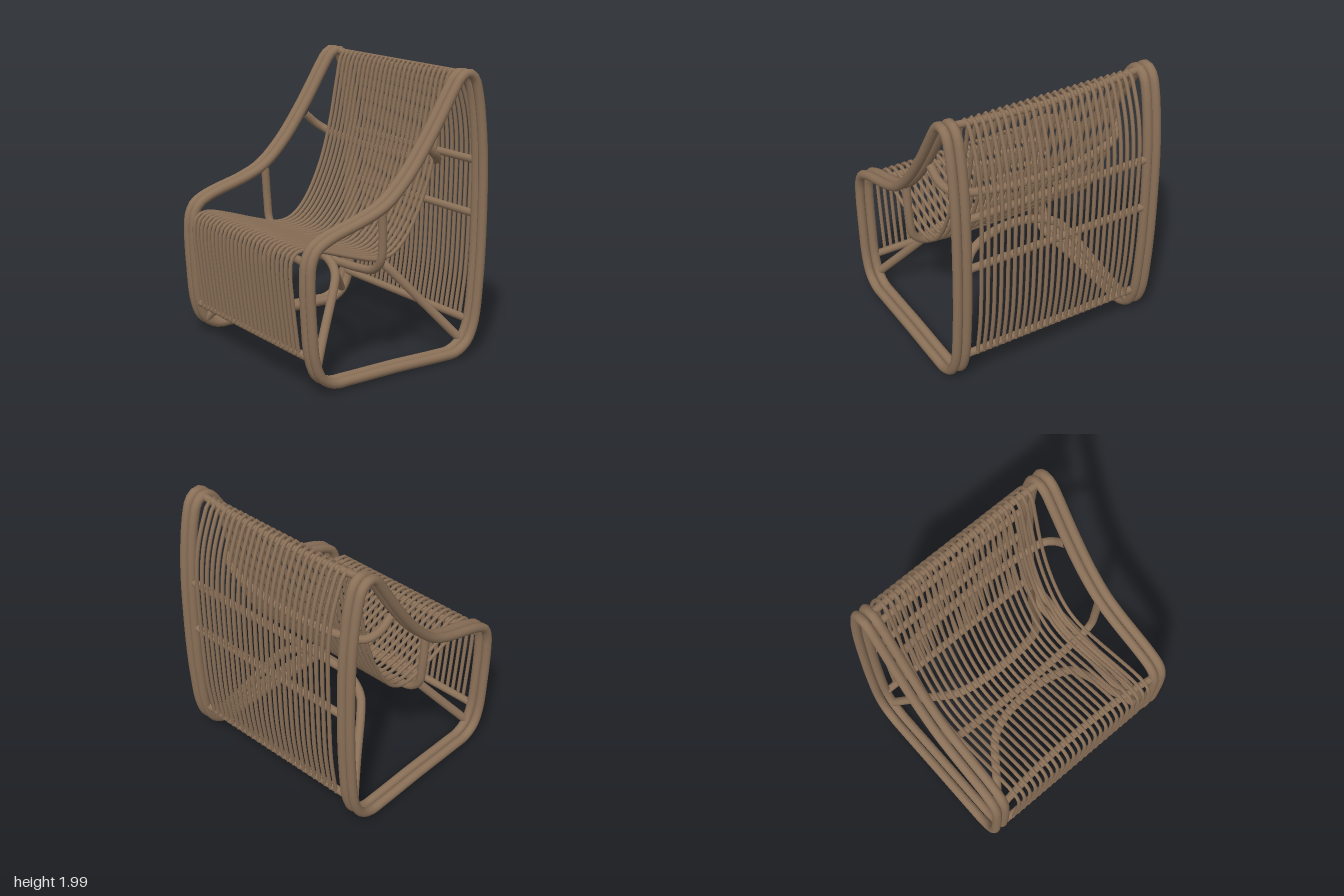
import * as THREE from 'three';

export function createModel() {
  const chair = new THREE.Group();
  chair.name = 'rattanLoungeChair';
  const cane = new THREE.MeshStandardMaterial({ color: 0x8a7058 });
  cane.name = 'brown cane';

  // A bent cane running smoothly through points [x, y, z]
  function bend(name, points, radius, segments, sides, closed = false) {
    const curve = new THREE.CatmullRomCurve3(
      points.map(p => new THREE.Vector3(...p)), closed, 'centripetal');
    const mesh = new THREE.Mesh(
      new THREE.TubeGeometry(curve, segments, radius, sides, closed), cane);
    mesh.name = name;
    chair.add(mesh);
    return mesh;
  }

  // Cane symmetric about x = 0, given from its left end to the middle
  function crossCane(name, half, radius = 0.029) {
    const mirrored = half.slice(0, -1).reverse().map(([x, y, z]) => [-x, y, z]);
    bend(name, [...half, ...mirrored], radius, 72, 12);
  }

  // Straight rail between the side frames
  function rail(name, y, z, radius = 0.027) {
    const mesh = new THREE.Mesh(new THREE.CylinderGeometry(radius, radius, 1.38, 14), cane);
    mesh.rotation.z = Math.PI / 2;
    mesh.position.set(0, y, z);
    mesh.name = name;
    chair.add(mesh);
  }

  // Side frames: doubled closed loops, profile as [z, y]
  const frame = [
    [0.705, 0.76], [0.695, 0.88], [0.655, 0.96], [0.56, 1.015], [0.25, 1.11], [0.10, 1.18],
    [-0.07, 1.335], [-0.25, 1.57], [-0.45, 1.88], [-0.49, 1.935], [-0.55, 1.967],
    [-0.61, 1.935], [-0.65, 1.83], [-0.70, 1.48], [-0.714, 1.02], [-0.70, 0.55],
    [-0.66, 0.22], [-0.60, 0.10], [-0.50, 0.042], [-0.38, 0.038], [0, 0.048],
    [0.40, 0.05], [0.52, 0.055], [0.615, 0.11], [0.667, 0.23], [0.695, 0.5],
  ];
  for (const side of [1, -1]) {
    for (const x of [0.692, 0.761]) {
      bend(side > 0 ? 'leftFrame' : 'rightFrame',
        frame.map(([z, y]) => [side * x, y, z]), 0.033, 140, 14, true);
    }
  }

  // Slats: front apron, seat, backrest, then over the top and down the back
  const slat = [
    [0.685, 0.23], [0.725, 0.55], [0.747, 0.80], [0.735, 0.885], [0.69, 0.925], [0.61, 0.925],
    [0.48, 0.89], [0.25, 0.815], [0.10, 0.773], [0, 0.768], [-0.09, 0.80], [-0.20, 0.91],
    [-0.33, 1.16], [-0.42, 1.46], [-0.48, 1.76], [-0.515, 1.92], [-0.55, 1.972],
    [-0.60, 1.955], [-0.645, 1.87], [-0.705, 1.70], [-0.738, 1.50], [-0.744, 1.30],
    [-0.738, 1.0], [-0.718, 0.55], [-0.672, 0.23],
  ];
  for (let i = 0; i < 25; i++) {
    const x = -0.6 + i * 0.05;
    bend('slat', slat.map(([z, y]) => [x, y, z]), 0.0135, 110, 8);
  }

  // Rails across the back and front
  rail('upperBackRail', 1.355, -0.707);
  rail('middleBackRail', 0.98, -0.712);
  rail('lowerBackRail', 0.24, -0.655);
  rail('lowerFrontRail', 0.24, 0.668);

  // Curved supports under the slats
  crossCane('topRail', [[0.69, 1.96, -0.56], [0.45, 1.945, -0.57], [0, 1.925, -0.572]], 0.025);
  crossCane('seatFrontRail', [[0.69, 0.87, 0.69], [0.4, 0.87, 0.655], [0, 0.87, 0.64]], 0.026);
  crossCane('backrestSupport', [
    [0.692, 1.52, -0.26], [0.678, 1.44, -0.35], [0.63, 1.39, -0.415],
    [0.52, 1.36, -0.447], [0.3, 1.335, -0.475], [0, 1.325, -0.487]]);
  crossCane('seatSupport', [
    [0.692, 1.16, 0.095], [0.688, 0.92, 0.082], [0.665, 0.77, 0.08],
    [0.59, 0.70, 0.08], [0.45, 0.675, 0.082], [0.25, 0.663, 0.084], [0, 0.66, 0.085]]);

  // Arched diagonal braces rising from the frame corners
  const arch = [[0.69, 0.11], [0.56, 0.325], [0.43, 0.555], [0.375, 0.63],
    [0.29, 0.68], [0.15, 0.715], [0, 0.725]];
  const brace = (name, zFoot, zTop) => crossCane(name,
    arch.map(([x, y]) => [x, y, zFoot + (zTop - zFoot) * (y - 0.11) / 0.615]), 0.031);
  brace('frontBrace', 0.62, 0.165);
  brace('backBrace', -0.595, -0.11);

  return chair;
}
